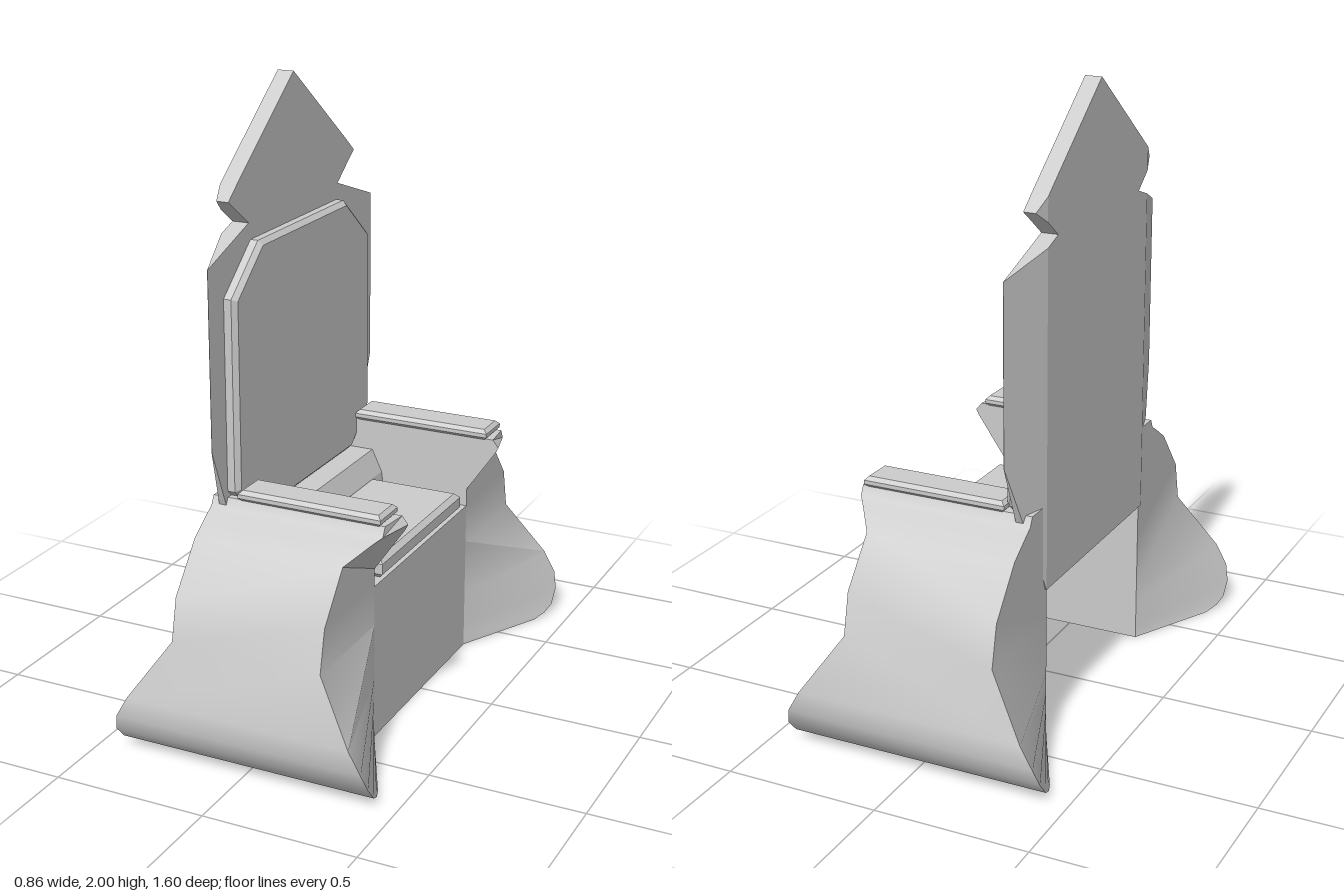
import * as THREE from 'three';
import { toCreasedNormals } from 'three/addons/utils/BufferGeometryUtils.js';

const material = new THREE.MeshStandardMaterial({ color: 0xcccccc });
const INNER = 0.36; // half width of the seat opening

function addMesh(group, name, geometry) {
  const mesh = new THREE.Mesh(geometry, material);
  mesh.name = name;
  group.add(mesh);
}

// Extrudes an outline; a bevel cuts into the outline rather than growing it.
function slab(points, depth, bevel = 0) {
  const shape = new THREE.Shape(points.map(p => new THREE.Vector2(...p)));
  const geo = new THREE.ExtrudeGeometry(shape, {
    depth: depth - 2 * bevel, bevelEnabled: bevel > 0, bevelSegments: 1,
    bevelSize: bevel, bevelThickness: bevel, bevelOffset: -bevel,
  });
  return geo.translate(0, 0, bevel);
}

// Outline given as (z, y), thickness running from x0 to x1.
const alongX = (points, x0, x1, bevel) =>
  slab(points.map(([z, y]) => [-z, y]), x1 - x0, bevel).rotateY(Math.PI / 2).translate(x0, 0, 0);

// Bevelled rectangular pad lying flat.
function pad(x0, x1, y0, y1, z0, z1, bevel) {
  const outline = [[x0, -z1], [x1, -z1], [x1, -z0], [x0, -z0]];
  return slab(outline, y1 - y0, bevel).rotateX(-Math.PI / 2).translate(0, y0, 0);
}

function box(x0, x1, y0, y1, z0, z1) {
  return new THREE.BoxGeometry(x1 - x0, y1 - y0, z1 - z0)
    .translate((x0 + x1) / 2, (y0 + y1) / 2, (z0 + z1) / 2);
}

const mirrored = half => [...half, ...half.filter(p => p[0] > 0).reverse().map(([z, y]) => [-z, y])];

// Flared side: loft of four-cornered sections from the armrest to the floor.
// Section: outer z, outer y, outer front x, outer back x, inner y, inner front x
const sections = [
  [0.46, 0.765, 0.33, -0.25, 0.765, 0.34],
  [0.475, 0.735, 0.33, -0.25, 0.74, 0.36],
  [0.50, 0.72, 0.31, -0.25, 0.72, 0.35],
  [0.58, 0.667, 0.25, -0.25, 0.575, 0.25],
  [0.70, 0.52, 0.25, -0.25, 0.52, 0.25],
  [0.73, 0.385, 0.25, -0.25, 0.385, 0.25],
  [0.80, 0.20, 0.375, -0.375, 0.20, 0.25],
  [0.80, 0.13, 0.415, -0.415, 0.13, 0.25],
  [0.78, 0.075, 0.43, -0.43, 0.075, 0.25],
  [0.74, 0.03, 0.43, -0.43, 0.03, 0.25],
  [0.70, 0.012, 0.42, -0.42, 0.012, 0.25],
  [0.65, 0, 0.40, -0.40, 0, 0.25],
];

function sideGeometry(side) {
  const positions = [];
  const index = [];
  for (const [z, y, front, back, innerY, innerFront] of sections) {
    positions.push(innerFront, innerY, side * INNER, front, y, side * z,
      back, y, side * z, -0.25, innerY, side * INNER);
  }
  const tri = (a, b, c) => index.push(...(side > 0 ? [a, b, c] : [a, c, b]));
  const last = (sections.length - 1) * 4;
  for (let i = 0; i < last; i += 4) {
    for (let k = 0; k < 4; k++) {
      const n = (k + 1) % 4;
      tri(i + k, i + n, i + 4 + n);
      tri(i + k, i + 4 + n, i + 4 + k);
    }
  }
  tri(0, 2, 1);
  tri(0, 3, 2);
  tri(last, last + 1, last + 2);
  tri(last, last + 2, last + 3);
  const geo = new THREE.BufferGeometry();
  geo.setAttribute('position', new THREE.Float32BufferAttribute(positions, 3));
  geo.setIndex(index);
  return toCreasedNormals(geo, 0.6);
}

// Backrest edge pieces thin out from behind towards the outer rim.
function thinned(points) {
  const geo = alongX(points, -0.255, -0.2);
  const pos = geo.attributes.position;
  for (let i = 0; i < pos.count; i++) {
    const t = Math.max(0, (Math.abs(pos.getZ(i)) - 0.37) / 0.18);
    if (pos.getX(i) < -0.23) pos.setX(i, -0.255 + 0.054 * t);
  }
  geo.computeVertexNormals();
  return geo;
}

export function createModel() {
  const model = new THREE.Group();
  model.name = 'throne';

  // Backrest: flat middle with pointed crest, plus tapered edges
  const backrest = new THREE.Group();
  backrest.name = 'backrest';
  model.add(backrest);
  addMesh(backrest, 'backrestMiddle', alongX(mirrored([
    [0, 2], [0.37, 1.718], [0.37, 1.642], [0.3, 1.59], [0.37, 1.566], [0.37, 0.49],
  ]), -0.255, -0.2));

  for (const side of [1, -1]) {
    const flip = points => points.map(([z, y]) => [side * z, y]);
    const label = side > 0 ? 'left' : 'right';
    addMesh(backrest, label + 'BackrestEdge',
      thinned(flip([[0.37, 1.566], [0.55, 1.505], [0.55, 0.94], [0.37, 0.49]])));
    addMesh(backrest, label + 'CrestTip',
      thinned(flip([[0.37, 1.718], [0.42, 1.678], [0.37, 1.642]])));

    // Flared side and its armrest pad
    addMesh(model, label + 'Side', sideGeometry(side));
    const [z0, z1] = side > 0 ? [0.35, 0.47] : [-0.47, -0.35];
    addMesh(model, label + 'ArmrestPad', pad(-0.16, 0.32, 0.76, 0.797, z0, z1, 0.012));
  }

  // Back cushion with cut corners
  addMesh(model, 'backCushion', alongX(mirrored([
    [0.29, 1.537], [0.46, 1.395], [0.46, 0.785], [0.33, 0.665],
  ]), -0.215, -0.16, 0.015));

  // Seat: front panel, board, cushion and sloped bolster
  addMesh(model, 'frontPanel', box(0.2, 0.25, 0, 0.515, -INNER, INNER));
  addMesh(model, 'seatBoard', box(-0.22, 0.2, 0.47, 0.515, -INNER, INNER));
  addMesh(model, 'seatCushion', pad(-0.12, 0.25, 0.515, 0.582, -0.305, 0.305, 0.016));
  addMesh(model, 'seatBolster', slab([
    [-0.2, 0.51], [-0.055, 0.51], [-0.065, 0.585], [-0.1, 0.66], [-0.2, 0.66],
  ], 2 * INNER).translate(0, 0, -INNER));

  return model;
}
